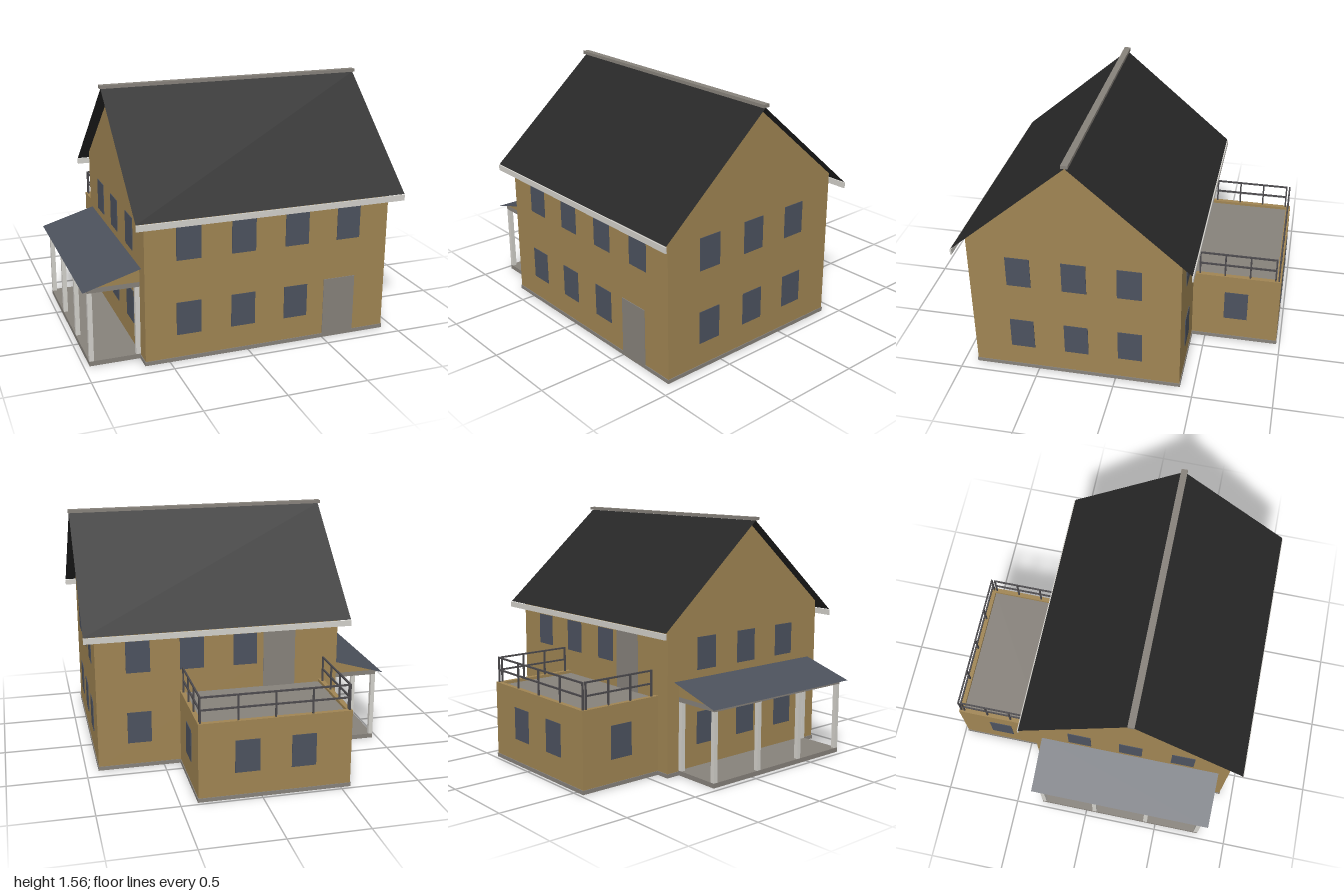
import * as THREE from 'three';

const mat = (name, color, side = THREE.FrontSide) => {
  const m = new THREE.MeshStandardMaterial({ color, side });
  m.name = name;
  return m;
};

export function createModel() {
  const house = new THREE.Group();
  house.name = 'house';
  const wall = mat('tan wall', 0xa08553);
  const stone = mat('warm grey', 0x87827b);
  const trim = mat('pale trim', 0xd3d1cb);
  const glass = mat('window slate', 0x4c525f);
  const roofing = mat('black roofing', 0x272727, THREE.DoubleSide);
  const porchRoofing = mat('slate porch roofing', 0x4c515b, THREE.DoubleSide);
  const metal = mat('railing metal', 0x4c4a4d);

  const add = (name, geometry, material, parent = house) => {
    const mesh = new THREE.Mesh(geometry, material);
    mesh.name = name;
    parent.add(mesh);
    return mesh;
  };
  // Box given by its limits on each axis
  const box = (name, material, [x0, x1], [y0, y1], [z0, z1], parent) => {
    const mesh = add(name, new THREE.BoxGeometry(x1 - x0, y1 - y0, z1 - z0), material, parent);
    mesh.position.set((x0 + x1) / 2, (y0 + y1) / 2, (z0 + z1) / 2);
    return mesh;
  };
  // Flat sheet through four corners, counter-clockwise from above
  const sheet = (name, material, corners) => {
    const g = new THREE.BufferGeometry();
    g.setAttribute('position', new THREE.Float32BufferAttribute(corners.flat(), 3));
    g.setIndex([0, 1, 2, 0, 2, 3]);
    g.computeVertexNormals();
    return add(name, g, material);
  };
  const outline = (points) => new THREE.Shape(points.map(([x, y]) => new THREE.Vector2(x, y)));

  // Main limits
  const X0 = -0.65, X1 = 0.92, Z0 = -0.41, Z1 = 0.91, RIDGE = 0.25;
  const EX0 = -0.56, EX1 = 0.39, EZ = -0.975;

  // Foundations
  box('foundation', stone, [X0 - 0.004, X1 + 0.004], [0, 0.025], [Z0 - 0.004, Z1 + 0.004]);
  box('extensionFoundation', stone, [EX0 - 0.004, EX1 + 0.004], [0, 0.025], [EZ - 0.004, Z0]);

  // Gabled main block, profile drawn in (-z, y) and extruded along x
  const body = new THREE.ExtrudeGeometry(
    outline([[-Z1, 0.02], [-Z0, 0.02], [-Z0, 0.97], [-RIDGE, 1.535], [-Z1, 0.97]]),
    { depth: X1 - X0, bevelEnabled: false });
  body.rotateY(Math.PI / 2);
  add('mainWalls', body, wall).position.x = X0;

  // Main roof slopes, eave boards and ridge cap
  const RX0 = -0.715, RX1 = 0.99, top = 1.541, eave = 0.913;
  sheet('frontRoofSlope', roofing,
    [[RX0, eave, 0.98], [RX1, eave, 0.98], [RX1, top, RIDGE], [RX0, top, RIDGE]]);
  sheet('backRoofSlope', roofing,
    [[RX1, eave, -0.48], [RX0, eave, -0.48], [RX0, top, RIDGE], [RX1, top, RIDGE]]);
  for (const [name, z] of [['frontEaveBoard', 0.98], ['backEaveBoard', -0.482]])
    box(name, trim, [RX0, RX1], [0.873, 0.91], [z - 0.005, z + 0.005]);
  box('ridgeCap', stone, [-0.724, 0.996], [1.543, 1.563], [RIDGE - 0.021, RIDGE + 0.021]);

  // Rear extension with low parapet and roof deck
  box('extensionWalls', wall, [EX0, EX1], [0.02, 0.47], [EZ, Z0]);
  box('parapetLeft', wall, [EX1 - 0.03, EX1], [0.47, 0.5], [EZ, Z0]);
  box('parapetRight', wall, [EX0, EX0 + 0.03], [0.47, 0.5], [EZ, Z0]);
  box('parapetBack', wall, [EX0 + 0.03, EX1 - 0.03], [0.47, 0.5], [EZ, EZ + 0.03]);
  box('roofDeck', stone, [EX0 + 0.03, EX1 - 0.03], [0.47, 0.482], [EZ + 0.03, Z0]);

  // Thin painted panels; axis is the wall's normal, at its position
  const T = 0.004;
  const panel = (name, material, axis, at, c, w, y0, y1) => {
    const across = [c - w / 2, c + w / 2], through = [at - T, at + T];
    if (axis === 'z') box(name, material, across, [y0, y1], through);
    else box(name, material, through, [y0, y1], across);
  };
  const LOW = [0.17, 0.377], HIGH = [0.642, 0.847];
  const win = (axis, at, c, rows) =>
    rows.forEach((r) => panel('window', glass, axis, at, c, 0.153, ...r));

  // Front and back windows
  for (const x of [-0.38, -0.035, 0.31]) win('z', Z1, x, [LOW, HIGH]);
  win('z', Z1, 0.653, [HIGH]);
  win('z', Z0, 0.653, [LOW, HIGH]);
  for (const x of [0.31, -0.035]) win('z', Z0, x, [HIGH]);
  // Side windows
  for (const x of [X0, X1])
    for (const z of [0.595, 0.247, -0.095]) win('x', x, z, [LOW, HIGH]);
  // Extension windows
  for (const x of [0.09, -0.26]) win('z', EZ, x, [LOW]);
  for (const x of [EX0, EX1]) win('x', x, -0.695, [LOW]);
  // Doors
  panel('frontDoor', stone, 'z', Z1, 0.605, 0.21, 0.025, 0.39);
  panel('deckDoor', stone, 'z', Z0, -0.26, 0.21, 0.482, 0.86);

  // Deck railing
  const railing = new THREE.Group();
  railing.name = 'railing';
  house.add(railing);
  const r = 0.005;
  const post = (x, z) =>
    box('railingPost', metal, [x - r, x + r], [0.5, 0.665], [z - r, z + r], railing);
  const RL = 0.375, RR = -0.545, RB = -0.96;
  for (let i = 0; i < 5; i++) post(RR + (RL - RR) * i / 4, RB);
  for (const x of [RL, RR])
    for (let i = 0; i < 4; i++) post(x, -0.45 - 0.163 * i);
  for (const y of [0.58, 0.66]) {
    box('backRail', metal, [RR, RL], [y - r, y + r], [RB - r, RB + r], railing);
    for (const x of [RL, RR])
      box('sideRail', metal, [x - r, x + r], [y - r, y + r], [-0.94, -0.45], railing);
  }

  // Side porch: floor, posts, beams, gable ends and lean-to roof
  const PX = -0.965, PZ0 = -0.32, PZ1 = 0.805, W = 0.028;
  box('porchFloor', stone, [PX, X0], [0, 0.03], [PZ0, PZ1]);
  const porchPost = (x, z) =>
    box('porchPost', trim, [x, x + W], [0.03, 0.465], [z, z + W]);
  for (let i = 0; i < 4; i++) porchPost(PX, PZ0 + (PZ1 - W - PZ0) * i / 3);
  for (const z of [PZ0, PZ1 - W]) {
    porchPost(X0 - W, z);
    box('porchEndBeam', stone, [PX + W, X0], [0.465, 0.495], [z, z + W]);
    const gable = new THREE.ExtrudeGeometry(
      outline([[PX, 0.495], [X0, 0.495], [X0, 0.588]]), { depth: W, bevelEnabled: false });
    add('porchGable', gable, wall).position.z = z;
  }
  box('porchSideBeam', stone, [PX, PX + W], [0.465, 0.495], [PZ0, PZ1]);
  sheet('porchRoof', porchRoofing,
    [[-1, 0.488, 0.845], [X0, 0.592, 0.845], [X0, 0.592, -0.36], [-1, 0.488, -0.36]]);

  return house;
}
